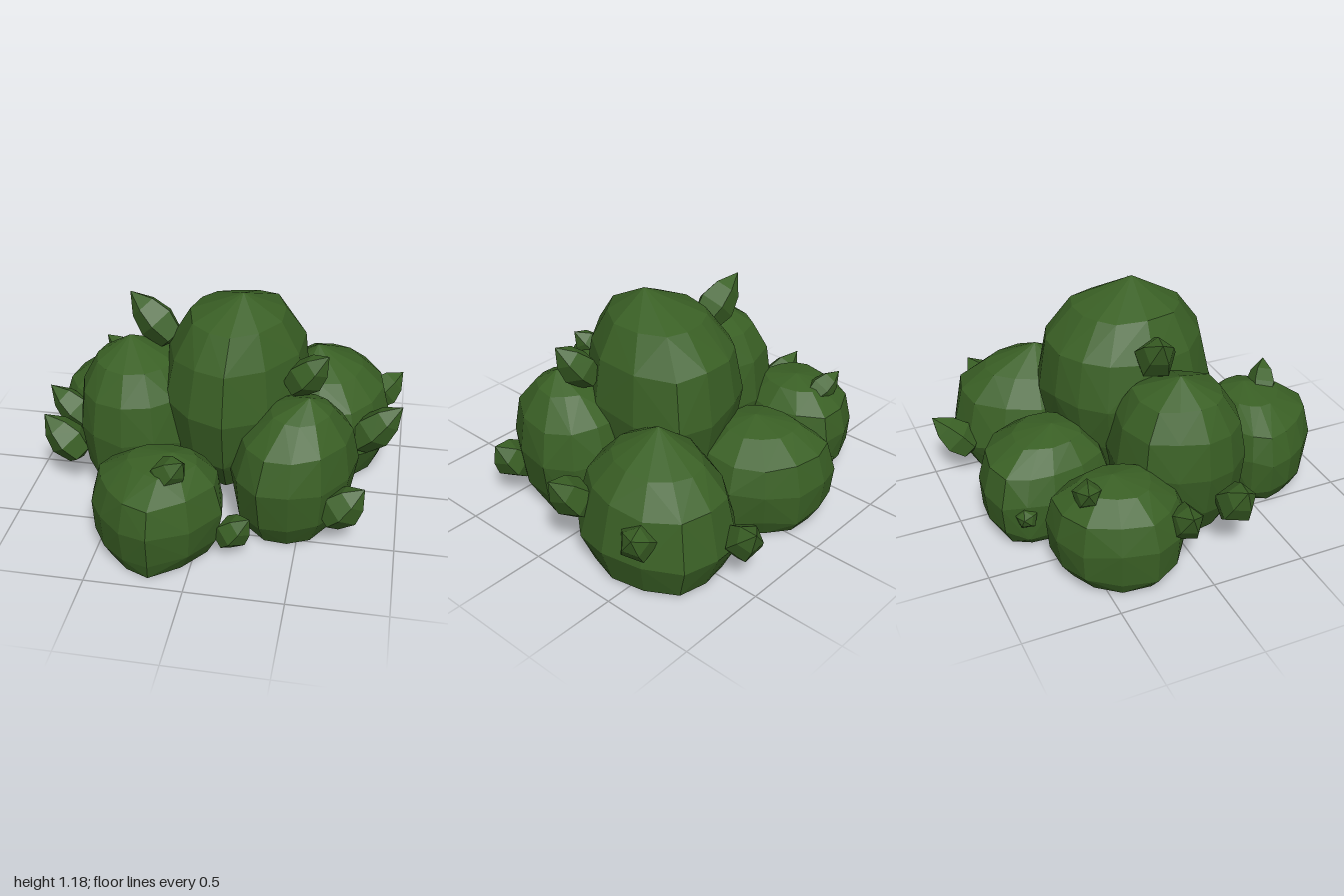
import * as THREE from 'three';
import { ConvexGeometry } from 'three/addons/geometries/ConvexGeometry.js';

// Small seeded generator for the irregular facets
function seeded(seed) {
  let s = seed * 7919 + 13;
  return () => {
    s = (s * 16807) % 2147483647;
    return s / 2147483647;
  };
}

// Side profiles of a clump: [height fraction, width fraction]
const TALL = [[0, 0.62], [0.2, 0.9], [0.45, 1], [0.7, 0.9], [0.87, 0.64]];
const ROUND = [[0, 0.72], [0.15, 0.92], [0.45, 1], [0.7, 0.88], [0.89, 0.48]];
const FLAT = [[0, 0.8], [0.15, 0.95], [0.48, 1], [0.75, 0.88], [0.93, 0.52]];
const LOW = [[0, 0.84], [0.25, 1], [0.62, 0.87], [0.81, 0.57]];

// Faceted foliage clump: a rounded plan outline through six [x, z] points is
// stacked along the profile, drifting from its middle towards the apex,
// and wrapped in a convex skin.
function clumpGeometry(bottom, apex, outline, profile, seed) {
  const rand = seeded(seed);
  const top = new THREE.Vector3(...apex);
  const corners = outline.map(([x, z]) => new THREE.Vector3(x, bottom, z));
  const rim = new THREE.CatmullRomCurve3(corners, true).getPoints(12).slice(0, 12);
  const middle = new THREE.Vector3();
  corners.forEach(c => middle.addScaledVector(c, 1 / corners.length));

  const points = [top];
  for (const [h, w] of profile) {
    const centre = middle.clone().lerp(top, h);
    for (const p of rim) {
      const s = w === 1 ? 1 : w * (0.95 + rand() * 0.08);
      const lift = h === 0 ? 0 : (rand() - 0.5) * 0.1 * (1 - h);
      points.push(new THREE.Vector3(
        centre.x + (p.x - centre.x) * s,
        THREE.MathUtils.lerp(bottom, top.y, h + lift),
        centre.z + (p.z - centre.z) * s));
    }
  }
  return new ConvexGeometry(points);
}

// Stubby five-sided leaf bud of unit length along +y
function budGeometry() {
  const profile = [[0, 0], [0.7, 0.08], [1, 0.4], [0.72, 0.7], [0, 1]];
  const lathe = new THREE.LatheGeometry(profile.map(p => new THREE.Vector2(...p)), 5);
  const geometry = lathe.toNonIndexed();
  geometry.computeVertexNormals();
  return geometry;
}

export function createModel() {
  const model = new THREE.Group();
  model.name = 'bush';
  const leafGreen = new THREE.MeshStandardMaterial({ color: 0x3a6025 });
  leafGreen.name = 'leafGreen';

  // Foliage clumps
  let seed = 3;
  function addClump(name, bottom, apex, profile, outline) {
    const mesh = new THREE.Mesh(clumpGeometry(bottom, apex, outline, profile, seed++), leafGreen);
    mesh.name = name;
    model.add(mesh);
  }
  addClump('centreClump', 0.15, [0.14, 1.18, 0.06], TALL,
    [[-0.26, -0.25], [0, -0.44], [0.38, -0.4], [0.47, 0.1], [0.1, 0.48], [-0.23, 0.27]]);
  addClump('rightClump', 0.03, [-0.46, 0.89, 0.06], TALL,
    [[-0.74, 0.1], [-0.62, -0.2], [-0.2, -0.24], [-0.08, 0.15], [-0.27, 0.4], [-0.6, 0.37]]);
  addClump('backRightClump', 0.01, [-0.62, 0.53, -0.38], FLAT,
    [[-0.96, -0.28], [-0.83, -0.62], [-0.5, -0.69], [-0.36, -0.36], [-0.5, -0.04], [-0.78, -0.04]]);
  addClump('backClump', 0.01, [-0.1, 0.55, -0.5], FLAT,
    [[-0.41, -0.6], [-0.33, -0.86], [0, -0.88], [0.25, -0.62], [0.12, -0.25], [-0.28, -0.25]]);
  addClump('backLeftClump', 0.01, [0.5, 0.7, -0.37], LOW,
    [[0.18, -0.45], [0.42, -0.82], [0.78, -0.79], [0.94, -0.4], [0.75, -0.03], [0.35, 0]]);
  addClump('frontLeftClump', 0.01, [0.52, 0.76, 0.33], ROUND,
    [[0.12, 0.35], [0.22, 0.04], [0.55, -0.04], [0.78, 0.18], [0.62, 0.58], [0.3, 0.64]]);
  addClump('frontClump', 0, [-0.12, 0.55, 0.62], FLAT,
    [[-0.55, 0.58], [-0.4, 0.41], [0.02, 0.4], [0.14, 0.68], [-0.18, 0.99], [-0.45, 0.82]]);

  // Leaf buds: base, tip, radius
  const buds = [
    [[-0.23, 0.84, 0], [-0.48, 1.09, -0.05], 0.11],
    [[0.41, 0.71, 0.17], [0.6, 0.95, 0.24], 0.1],
    [[-0.74, 0.22, -0.07], [-0.99, 0.43, -0.12], 0.1],
    [[-0.71, 0.2, 0.22], [-0.92, 0.44, 0.21], 0.11],
    [[0.41, 0.15, -0.79], [0.5, 0.36, -0.99], 0.1],
    [[0.8, 0.26, -0.54], [0.98, 0.42, -0.64], 0.1],
    [[0.74, 0.22, -0.12], [0.99, 0.5, -0.1], 0.11],
    [[0.64, 0.14, 0.49], [0.83, 0.36, 0.5], 0.11],
    [[0.13, 0.06, 0.64], [0.28, 0.25, 0.7], 0.09],
    [[-0.18, 0.43, 0.7], [-0.03, 0.61, 0.79], 0.09],
    [[-0.58, 0.42, -0.5], [-0.77, 0.55, -0.56], 0.08],
    [[-0.35, 0.2, -0.73], [-0.44, 0.24, -0.78], 0.06],
  ];
  const bud = budGeometry();
  const up = new THREE.Vector3(0, 1, 0);
  buds.forEach(([base, tip, radius], i) => {
    const start = new THREE.Vector3(...base);
    const along = new THREE.Vector3(...tip).sub(start);
    const mesh = new THREE.Mesh(bud, leafGreen);
    mesh.name = 'leafBud' + (i + 1);
    mesh.scale.set(radius, along.length(), radius);
    mesh.position.copy(start);
    mesh.quaternion.setFromUnitVectors(up, along.normalize());
    model.add(mesh);
  });

  return model;
}
